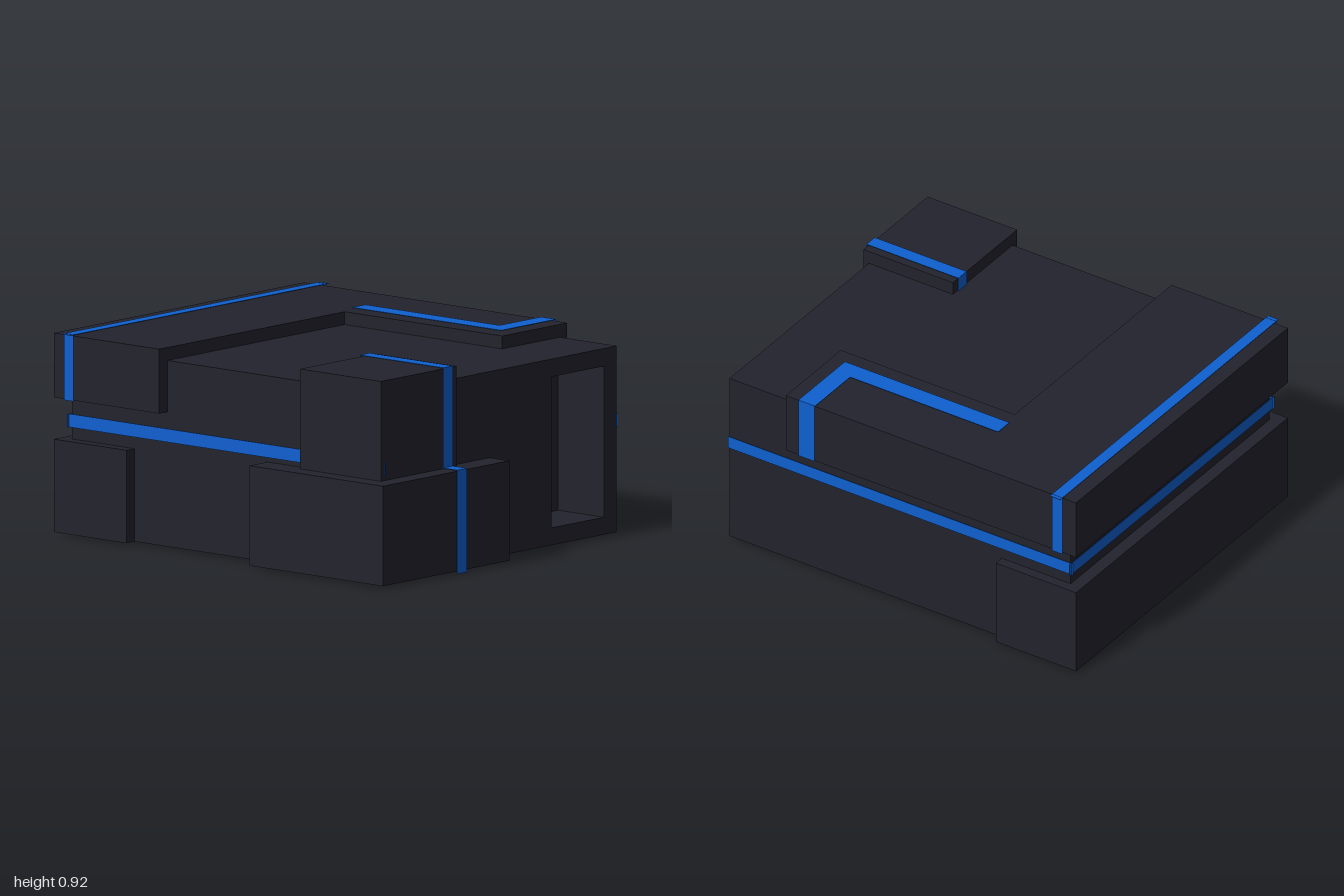
import * as THREE from 'three';

const dark = new THREE.MeshStandardMaterial({ color: 0x23232d, side: THREE.DoubleSide });
dark.name = 'charcoal';
const blue = new THREE.MeshStandardMaterial({ color: 0x0f60d0, side: THREE.DoubleSide });
blue.name = 'blue';

// Face order of a box: +x, -x, +y, -y, +z, -z
const BOTTOM = 3, FRONT = 4;

export function createModel() {
  const model = new THREE.Group();
  model.name = 'blockBuilding';

  const add = (name, geometry, material) => {
    const mesh = new THREE.Mesh(geometry, material);
    mesh.name = name;
    model.add(mesh);
    return mesh;
  };

  // Box given by its limits, with some faces left open
  const box = (name, [x0, x1], [y0, y1], [z0, z1], open = [], material = dark) => {
    const g = new THREE.BoxGeometry(x1 - x0, y1 - y0, z1 - z0);
    const index = Array.from(g.index.array).filter((_, i) => !open.includes(Math.floor(i / 6)));
    g.setIndex(index);
    g.clearGroups();
    g.translate((x0 + x1) / 2, (y0 + y1) / 2, (z0 + z1) / 2);
    return add(name, g, material);
  };

  // Thin painted strip: a single number fixes the plane it lies in
  const strip = (name, ...limits) => {
    const [x, y, z] = limits.map(v => (Array.isArray(v) ? v : [v - 0.001, v + 0.001]));
    return box(name, x, y, z, [], blue);
  };

  // Main hall: open underneath, with a front wall cut for the doorway
  box('mainHall', [-0.77, 0.815], [0.012, 0.85], [-0.94, 0.88], [BOTTOM, FRONT]);
  const rect = (path, x0, x1, y0, y1) =>
    path.moveTo(x0, y0).lineTo(x1, y0).lineTo(x1, y1).lineTo(x0, y1).closePath();
  const wall = rect(new THREE.Shape(), -0.77, 0.815, 0.012, 0.85);
  wall.holes.push(rect(new THREE.Path(), 0.375, 0.73, 0.09, 0.77));
  add('frontWall', new THREE.ShapeGeometry(wall), dark).position.z = 0.88;
  box('doorRecess', [0.375, 0.73], [0.09, 0.77], [0.61, 0.88], [FRONT]);

  // Blocks around the hall
  box('frontBlock', [-0.892, -0.04], [0.012, 0.462], [0.21, 0.995], [BOTTOM]);
  box('tower', [-0.806, -0.295], [0.462, 0.912], [0.432, 0.908], [BOTTOM]);
  box('backBlock', [-0.825, 0.862], [0.012, 0.43], [-1, -0.572], [BOTTOM]);

  // Roof slab and its forward arm
  box('roofSlab', [-0.825, 0.863], [0.618, 0.908], [-1, -0.38]);
  box('roofArm', [0.425, 0.863], [0.618, 0.908], [-0.38, 0.547]);

  // Band around the right, back and left walls
  const bandY = [0.485, 0.545];
  strip('rightBand', 0.822, bandY, [-0.957, 0.882]);
  strip('leftBand', -0.782, bandY, [-0.957, 0.914]);
  strip('backBand', [-0.795, 0.837], bandY, -0.948);

  // Strip over the back of the roof and down both ends
  const backZ = [-0.933, -0.878];
  strip('roofStripTop', [-0.85, 0.888], 0.914, backZ);
  for (const [name, x] of [['roofStripLeft', 0.87], ['roofStripRight', -0.832]]) {
    strip(name, x, [0.615, 0.916], backZ);
  }

  // Bent strip on the roof arm
  strip('armStripLong', [0.5, 0.59], 0.914, [-0.402, 0.387]);
  strip('armStripShort', [0.5, 0.87], 0.914, [0.387, 0.475]);
  strip('armStripSide', 0.87, [0.62, 0.914], [0.39, 0.475]);

  // Strip over the tower and down the front block
  const stripX = [-0.395, -0.33];
  strip('towerStripTop', stripX, 0.918, [0.427, 0.916]);
  strip('towerStripBack', stripX, [0.462, 0.918], 0.426);
  strip('towerStripFront', stripX, [0.462, 0.918], 0.915);
  strip('blockStripTop', stripX, 0.467, [0.908, 1]);
  strip('blockStripFront', stripX, [0, 0.468], 0.999);

  return model;
}
